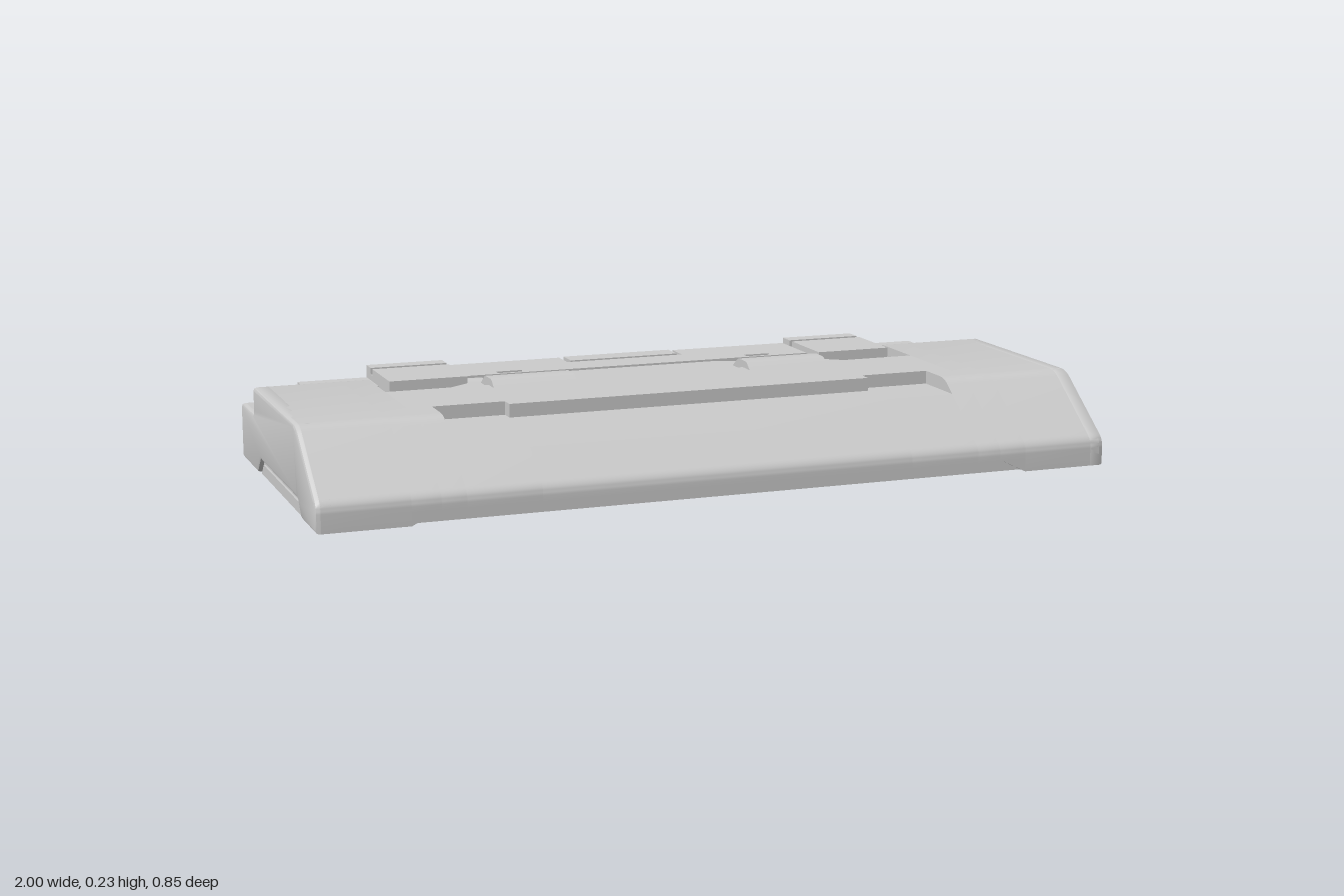
import * as THREE from 'three';
import { toCreasedNormals } from 'three/addons/utils/BufferGeometryUtils.js';

const material = new THREE.MeshStandardMaterial({ color: 0xcccccc });

// Closed outline from [a, b, cornerRadius] points
function roundedShape(points) {
  const shape = new THREE.Shape();
  const n = points.length;
  points.forEach(([x, y, r = 0], i) => {
    const p = new THREE.Vector2(x, y);
    const toward = (q) => new THREE.Vector2(q[0], q[1]).sub(p).setLength(r).add(p);
    const a = r ? toward(points[(i + n - 1) % n]) : p;
    if (i === 0) shape.moveTo(a.x, a.y);
    else shape.lineTo(a.x, a.y);
    if (r) {
      const b = toward(points[(i + 1) % n]);
      shape.quadraticCurveTo(x, y, b.x, b.y);
    }
  });
  shape.closePath();
  return shape;
}

function extrude(points, depth, bevel = 0) {
  return new THREE.ExtrudeGeometry(roundedShape(points), {
    depth: depth - 2 * bevel, curveSegments: 6, bevelEnabled: bevel > 0,
    bevelSize: bevel, bevelThickness: bevel, bevelOffset: -bevel, bevelSegments: 2,
  }).translate(0, 0, bevel);
}

export function createModel() {
  const model = new THREE.Group();
  const add = (name, geometry) => {
    const mesh = new THREE.Mesh(toCreasedNormals(geometry, 0.6), material);
    mesh.name = name;
    model.add(mesh);
    return mesh;
  };
  // A [z, y, r] profile swept from x0 to x1
  const slab = (name, profile, x0, x1, bevel = 0) => {
    const geometry = extrude(profile.map(([z, y, r]) => [-z, y, r]), x1 - x0, bevel);
    return add(name, geometry.rotateY(Math.PI / 2).translate(x0, 0, 0));
  };
  // An [x, z, r] plan raised from y0 to y1
  const plate = (name, plan, y0, y1, bevel = 0) => {
    const geometry = extrude(plan.map(([x, z, r]) => [x, -z, r]), y1 - y0, bevel);
    return add(name, geometry.rotateX(-Math.PI / 2).translate(0, y0, 0));
  };
  const box = (name, x0, x1, y0, y1, z0, z1) =>
    add(name, new THREE.BoxGeometry(x1 - x0, y1 - y0, z1 - z0)
      .translate((x0 + x1) / 2, (y0 + y1) / 2, (z0 + z1) / 2));

  const floor = 0.15;
  const front = [[0.425, 0.065, 0.02], [0.232, 0.21, 0.025]];
  const scoop = [[0.4, 0], [0.4, 0.03], [0.425, 0.03]];
  const plain = [[0.425, 0]];
  const steppedBack = [[-0.262, 0.21, 0.012], [-0.262, 0.14, 0.018], [-0.425, 0.14, 0.012], [-0.425, 0]];
  const trenchBack = [[-0.083, 0.21], [-0.083, floor], [-0.4, floor], [-0.4, 0]];
  // Front handle recess: flat floor that runs out on the sloped face
  const recess = (z) => [[0.425, 0.065, 0.02], [0.276, 0.177], [z, 0.177], [z, 0.21]];

  // Middle body, in sections that follow the handle recess
  slab('middleBody', [...scoop, ...recess(0.165), ...trenchBack], -0.47, 0.47);

  for (const s of [1, -1]) {
    const side = s > 0 ? 'left' : 'right';
    const span = (a, b) => (s > 0 ? [a, b] : [-b, -a]);
    const mslab = (name, profile, a, b, bevel) => slab(side + name, profile, ...span(a, b), bevel);
    const mbox = (name, a, b, ...rest) => box(side + name, ...span(a, b), ...rest);

    mslab('RecessBody', [...scoop, ...recess(0.13), ...trenchBack], 0.47, 0.65);
    mslab('TrenchBody', [...scoop, ...front, ...trenchBack], 0.65, 0.71);
    mslab('InnerEnd', [...scoop, ...front, ...steppedBack], 0.71, 0.78);
    mslab('OuterEnd', [...plain, ...front, ...steppedBack], 0.78, 0.988);

    // End skin with the low cut-out along its bottom edge
    mslab('EndCap', [[0.425, 0], ...front, ...steppedBack,
      [-0.238, 0], [-0.198, 0.04], [0.235, 0.04, 0.01], [0.27, 0]], 0.955, 1, 0.008);
    // Inner step of the cut-out
    mslab('EndCutoutStep', [[0.25, 0], [0.225, 0.027], [-0.192, 0.027], [-0.218, 0]], 0.98, 0.993);

    // Sloping end of the front scoop
    const wedge = extrude([[s * 0.78, 0], [s * 0.78, 0.03], [s * 0.72, 0.03]], 0.025);
    add(side + 'ScoopEnd', wedge.translate(0, 0, 0.4));

    // Hinge pad, notched across its top
    mslab('HingePad', [[-0.16, floor - 0.01], [-0.16, 0.22], [-0.337, 0.22], [-0.337, 0.203],
      [-0.355, 0.203], [-0.355, 0.22], [-0.4, 0.22], [-0.4, floor - 0.01]], 0.48, 0.68);
    // Ledge beside the pad, over the stepped corner
    mbox('SideLedge', 0.68, 0.86, 0.13, 0.188, -0.4, -0.275);

    // Hinge rod with collar
    const rod = (name, r, a, b) => add(side + name,
      new THREE.CylinderGeometry(r, r, b - a, 20).rotateZ(Math.PI / 2)
        .translate(s * (a + b) / 2, 0.17, -0.203));
    rod('HingeRod', 0.03, 0.2, 0.44);
    rod('RodCollar', 0.036, 0.43, 0.482);

    // Raised clip bridging the body and the tongue
    mslab('Clip', [[-0.035, 0.2], [-0.035, 0.209], [-0.06, 0.228, 0.008], [-0.115, 0.228, 0.008],
      [-0.152, 0.203], [-0.152, 0.18]], 0.232, 0.448);
    // Small latch tab on the lid
    mbox('LidTab', 0.31, 0.375, 0.2, 0.209, -0.262, -0.25);
  }

  // Tongue between the rods, with a groove behind its front strip
  plate('tongueStrip', [[-0.6, -0.08], [0.6, -0.08], [0.56, -0.107], [-0.56, -0.107]], floor - 0.01, 0.203);
  plate('tongueBase', [[-0.54, -0.1], [0.54, -0.1], [0.52, -0.12], [-0.52, -0.12]], floor - 0.01, 0.19);
  plate('tongue', [[-0.54, -0.114], [0.54, -0.114], [0.47, -0.165], [0.37, -0.165], [0.2, -0.225],
    [-0.2, -0.225], [-0.37, -0.165], [-0.47, -0.165]], floor - 0.01, 0.203);

  // Rear lid, notched around the centre latch
  plate('rearLid', [[-0.48, -0.24], [0.48, -0.24], [0.48, -0.403], [0.16, -0.405], [0.16, -0.335],
    [-0.16, -0.335], [-0.16, -0.405], [-0.48, -0.403]], floor - 0.01, 0.205);
  box('latchFloor', -0.16, 0.16, floor - 0.01, 0.19, -0.403, -0.335);
  box('centreLatch', -0.148, 0.148, 0.18, 0.207, -0.404, -0.343);

  return model;
}
